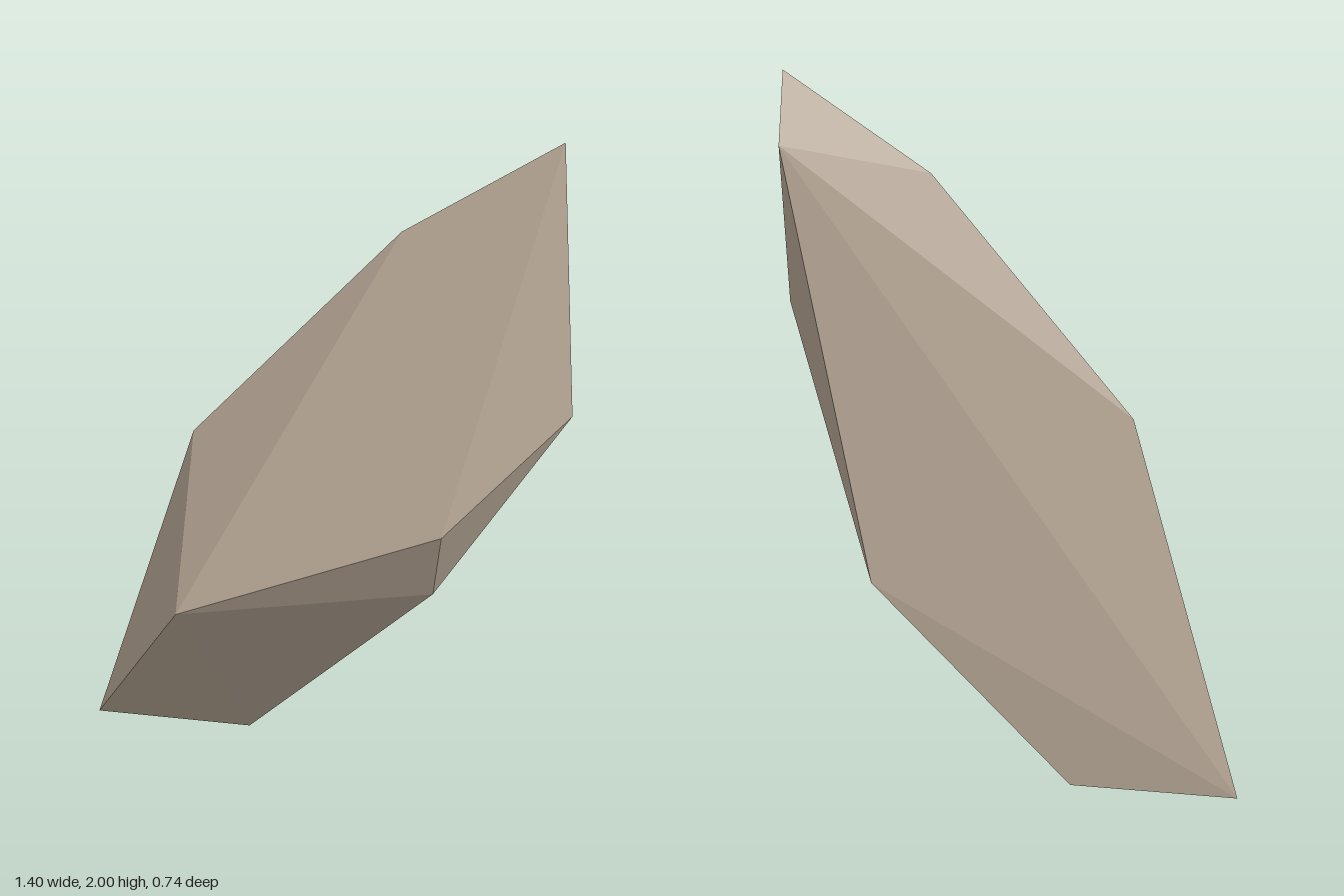
import * as THREE from 'three';
import { ConvexGeometry } from 'three/addons/geometries/ConvexGeometry.js';

export function createModel() {
  const group = new THREE.Group();
  group.name = 'rock';

  const stone = new THREE.MeshStandardMaterial({ color: 0xb3a493 });
  stone.name = 'warm grey stone';

  // Corners of the leaning, faceted shard
  const corners = [
    // tip and upper ridge
    [0.66, 2.0, 0.13], [0.65, 1.82, 0.0], [0.235, 1.74, 0.055],
    // middle belt
    [-0.355, 1.1, -0.115], [-0.4, 0.67, 0.23], [0.34, 0.965, 0.37], [0.7, 1.27, 0.24],
    // underside
    [0.33, 0.74, 0.25], [0.385, 0.59, -0.23],
    // foot
    [-0.7, 0.03, -0.37], [-0.21, 0.0, -0.32],
  ].map((c) => new THREE.Vector3(...c));

  // The hull has separate corners per face, so every facet stays flat
  const shard = new THREE.Mesh(new ConvexGeometry(corners), stone);
  shard.name = 'stoneShard';
  group.add(shard);
  return group;
}
